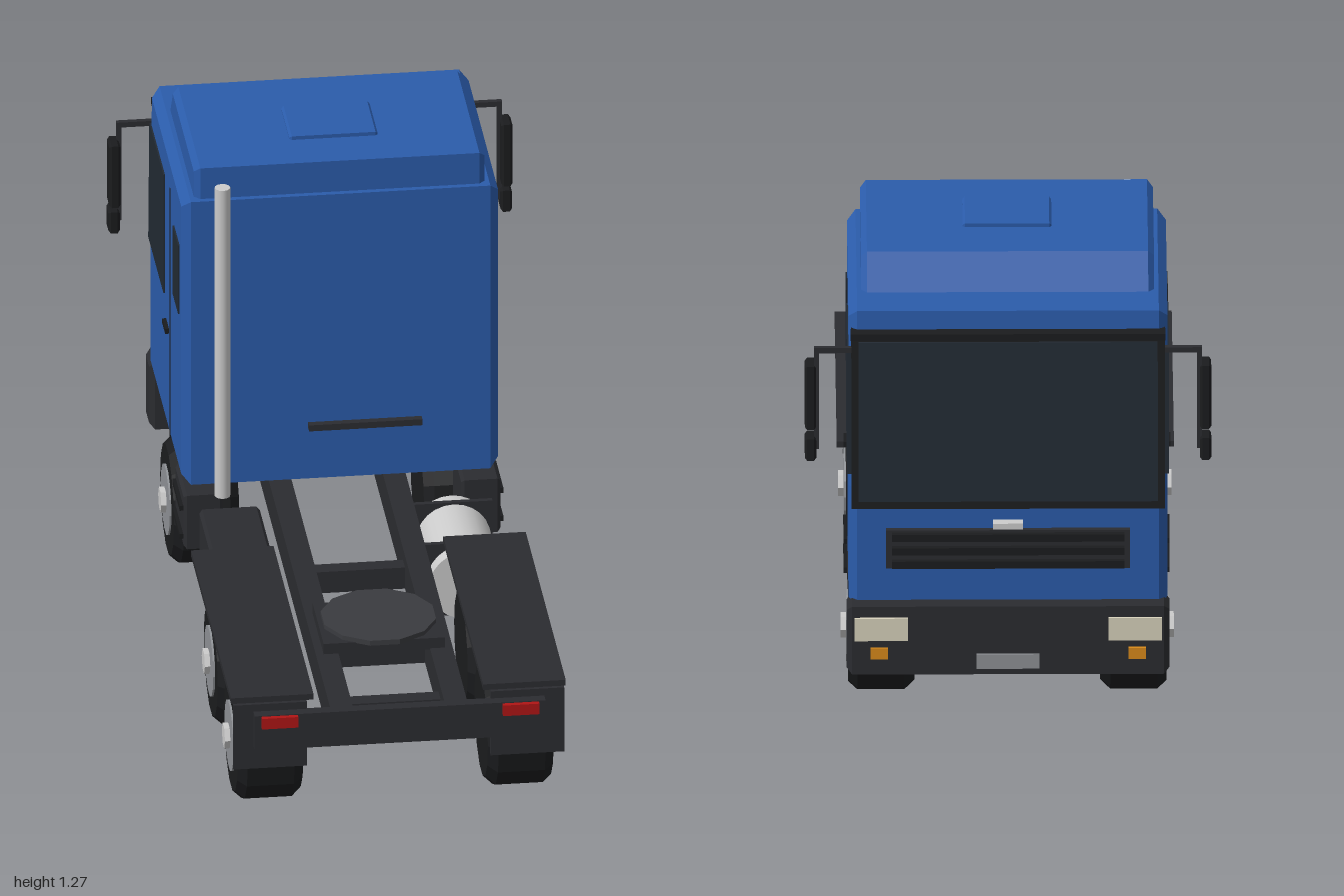
import * as THREE from 'three';

const mat = (color, opts = {}) => new THREE.MeshStandardMaterial({ color, flatShading: true, ...opts });
const blue = mat(0x2b5cab), dark = mat(0x2b2c30), black = mat(0x1b1c1e), glass = mat(0x222a33);
const rimGrey = mat(0x8f9296), steel = mat(0xcccccc), smoothSteel = mat(0xcccccc, { flatShading: false });
const red = mat(0xb01515), amber = mat(0xd98a1a), lamp = mat(0xd8d2bc);

export function createModel() {
  const truck = new THREE.Group();
  truck.name = 'tractorTruck';

  const add = (name, geometry, material, parent = truck) => {
    const mesh = new THREE.Mesh(geometry, material);
    mesh.name = name;
    parent.add(mesh);
    return mesh;
  };
  // Box given by its limits on each axis
  const box = (name, material, [x0, x1], [y0, y1], [z0, z1]) => {
    const g = new THREE.BoxGeometry(x1 - x0, y1 - y0, z1 - z0);
    g.translate((x0 + x1) / 2, (y0 + y1) / 2, (z0 + z1) / 2);
    return add(name, g, material);
  };
  // Side profile of [z, y] points, extruded across x with chamfered edges
  const profile = (name, material, points, [x0, x1], bevel = 0) => {
    const shape = new THREE.Shape(points.map(([z, y]) => new THREE.Vector2(z, y)));
    const depth = x1 - x0 - 2 * bevel;
    const g = new THREE.ExtrudeGeometry(shape, {
      depth, bevelEnabled: bevel > 0, bevelSize: bevel, bevelThickness: bevel,
      bevelOffset: -bevel, bevelSegments: 1,
    });
    g.translate(0, 0, -depth / 2);
    g.rotateY(-Math.PI / 2);
    g.translate((x0 + x1) / 2, 0, 0);
    return add(name, g, material);
  };
  const chamferBox = (name, material, xs, [y0, y1], [z0, z1], bevel) =>
    profile(name, material, [[z0, y0], [z1, y0], [z1, y1], [z0, y1]], xs, bevel);
  // Limits on one side of the truck, mirrored for s = -1
  const side = (s, a, b) => (s > 0 ? [a, b] : [-b, -a]);

  // Cab shell, roof fairing and hatch
  profile('cab', blue, [[-0.255, 0.37], [-0.255, 1.175], [-0.91, 1.175], [-0.945, 0.7], [-0.945, 0.37]], [-0.405, 0.405], 0.022);
  profile('roofFairing', blue, [[-0.27, 1.15], [-0.27, 1.262], [-0.73, 1.262], [-0.797, 1.165], [-0.79, 1.15]], [-0.372, 0.372], 0.015);
  chamferBox('roofHatch', blue, [-0.113, 0.113], [1.25, 1.272], [-0.575, -0.4], 0.006);
  box('rearCabBar', dark, [-0.083, 0.207], [0.513, 0.53], [-0.26, -0.236]);

  // Windscreen with its frame and visor
  profile('windscreenFrame', black, [[-0.92, 0.65], [-0.962, 0.65], [-0.921, 1.125], [-0.89, 1.125]], [-0.398, 0.398]);
  profile('windscreen', glass, [[-0.93, 0.672], [-0.967, 0.672], [-0.928, 1.095], [-0.89, 1.095]], [-0.38, 0.38]);
  box('visor', black, [-0.4, 0.4], [1.108, 1.126], [-0.947, -0.91]);

  // Grille with slats and a plain trim bar
  box('grille', dark, [-0.31, 0.31], [0.485, 0.59], [-0.96, -0.94]);
  for (const y of [0.5, 0.537, 0.574]) box('grilleSlat', black, [-0.295, 0.295], [y - 0.01, y + 0.01], [-0.975, -0.95]);
  box('grilleTrim', steel, [-0.038, 0.038], [0.597, 0.613], [-0.972, -0.94]);

  // Front bumper, number plate and lights
  chamferBox('frontBumper', dark, [-0.41, 0.41], [0.205, 0.392], [-0.99, -0.895], 0.014);
  box('frontPlate', rimGrey, [-0.08, 0.08], [0.222, 0.262], [-0.995, -0.98]);

  for (const s of [1, -1]) {
    // Lights
    box('headlight', lamp, side(s, 0.255, 0.39), [0.3, 0.362], [-0.997, -0.97]);
    box('indicator', amber, side(s, 0.305, 0.35), [0.25, 0.28], [-0.998, -0.97]);
    box('tailLight', red, side(s, 0.262, 0.355), [0.305, 0.335], [0.98, 1]);

    // Door windows, seam and handle
    profile('doorWindow', glass, [[-0.617, 0.735], [-0.617, 1.072], [-0.912, 1.072], [-0.934, 0.735]], side(s, 0.395, 0.409));
    box('sleeperWindow', glass, side(s, 0.395, 0.409), [0.83, 1.025], [-0.425, -0.31]);
    box('doorSeam', black, side(s, 0.395, 0.407), [0.38, 1.09], [-0.508, -0.501]);
    box('doorHandle', black, side(s, 0.4, 0.415), [0.662, 0.676], [-0.592, -0.532]);

    // Mirrors on their bracket
    box('mirrorArm', dark, side(s, 0.39, 0.493), [1.064, 1.078], [-0.922, -0.908]);
    box('mirrorPost', dark, side(s, 0.48, 0.493), [0.8, 1.078], [-0.922, -0.908]);
    chamferBox('mainMirror', black, side(s, 0.487, 0.516), [0.855, 1.03], [-0.93, -0.87], 0.006);
    chamferBox('lowerMirror', black, side(s, 0.487, 0.516), [0.775, 0.835], [-0.942, -0.885], 0.006);

    // Cab steps
    chamferBox('stepBox', dark, side(s, 0.305, 0.405), [0.205, 0.357], [-0.405, -0.22], 0.008);
    for (const y of [0.235, 0.315]) box('stepTread', black, side(s, 0.35, 0.414), [y - 0.007, y + 0.007], [-0.39, -0.235]);

    // Chassis rail, rear fender and mudflap
    box('chassisRail', dark, side(s, 0.117, 0.175), [0.24, 0.333], [-0.92, 0.96]);
    box('rearFender', dark, side(s, 0.217, 0.428), [0.357, 0.373], [0.115, 0.95]);
    box('mudflap', dark, side(s, 0.235, 0.423), [0.175, 0.357], [0.948, 0.96]);
  }

  // Chassis cross members and rear beam
  for (const z of [-0.7, 0.112, 0.53, 0.855]) box('crossMember', dark, [-0.12, 0.12], [0.24, 0.3], [z - 0.022, z + 0.022]);
  box('rearBeam', dark, [-0.372, 0.372], [0.24, 0.337], [0.957, 0.987]);

  // Coupling plate
  box('couplingBase', dark, [-0.155, 0.155], [0.33, 0.362], [0.425, 0.655]);
  const plate = add('couplingPlate', new THREE.CylinderGeometry(0.148, 0.148, 0.014, 12), mat(0x3a3b3f));
  plate.position.set(0, 0.367, 0.532);
  plate.rotation.y = Math.PI / 12;

  // Fuel tank on its left side with straps, battery box opposite
  const tank = add('fuelTank', new THREE.CylinderGeometry(0.095, 0.095, 0.318, 24), smoothSteel);
  tank.rotation.x = Math.PI / 2;
  tank.position.set(0.276, 0.23, -0.045);
  for (const z of [-0.16, 0.067]) box('tankStrap', dark, [0.173, 0.376], [0.126, 0.33], [z - 0.007, z + 0.007]);
  chamferBox('batteryBox', dark, [-0.37, -0.215], [0.15, 0.33], [-0.193, 0.09], 0.008);

  // Exhaust stack
  const stack = add('exhaustStack', new THREE.CylinderGeometry(0.02, 0.02, 0.877, 12), smoothSteel);
  stack.position.set(-0.307, 0.793, -0.217);

  // Wheels: chamfered tyre, rim disc and hexagonal hub
  const tyreGeo = new THREE.LatheGeometry(
    [[0, 0], [0.142, 0], [0.166, 0.025], [0.166, 0.145], [0.145, 0.168], [0, 0.168]].map(p => new THREE.Vector2(...p)), 14);
  const rimGeo = new THREE.CylinderGeometry(0.093, 0.093, 0.02, 14).translate(0, 0.163, 0);
  const hubGeo = new THREE.CylinderGeometry(0.033, 0.033, 0.02, 6).translate(0, 0.177, 0);
  for (const g of [tyreGeo, rimGeo, hubGeo]) g.rotateZ(-Math.PI / 2);
  for (const z of [-0.58, 0.33, 0.75]) {
    for (const s of [1, -1]) {
      const wheel = new THREE.Group();
      wheel.name = z < 0 ? 'frontWheel' : 'rearWheel';
      add('tyre', tyreGeo, black, wheel);
      add('rim', rimGeo, rimGrey, wheel);
      add('hub', hubGeo, steel, wheel);
      wheel.position.set(s * 0.236, 0.166, z);
      if (s < 0) wheel.rotation.y = Math.PI;
      truck.add(wheel);
    }
  }
  return truck;
}
